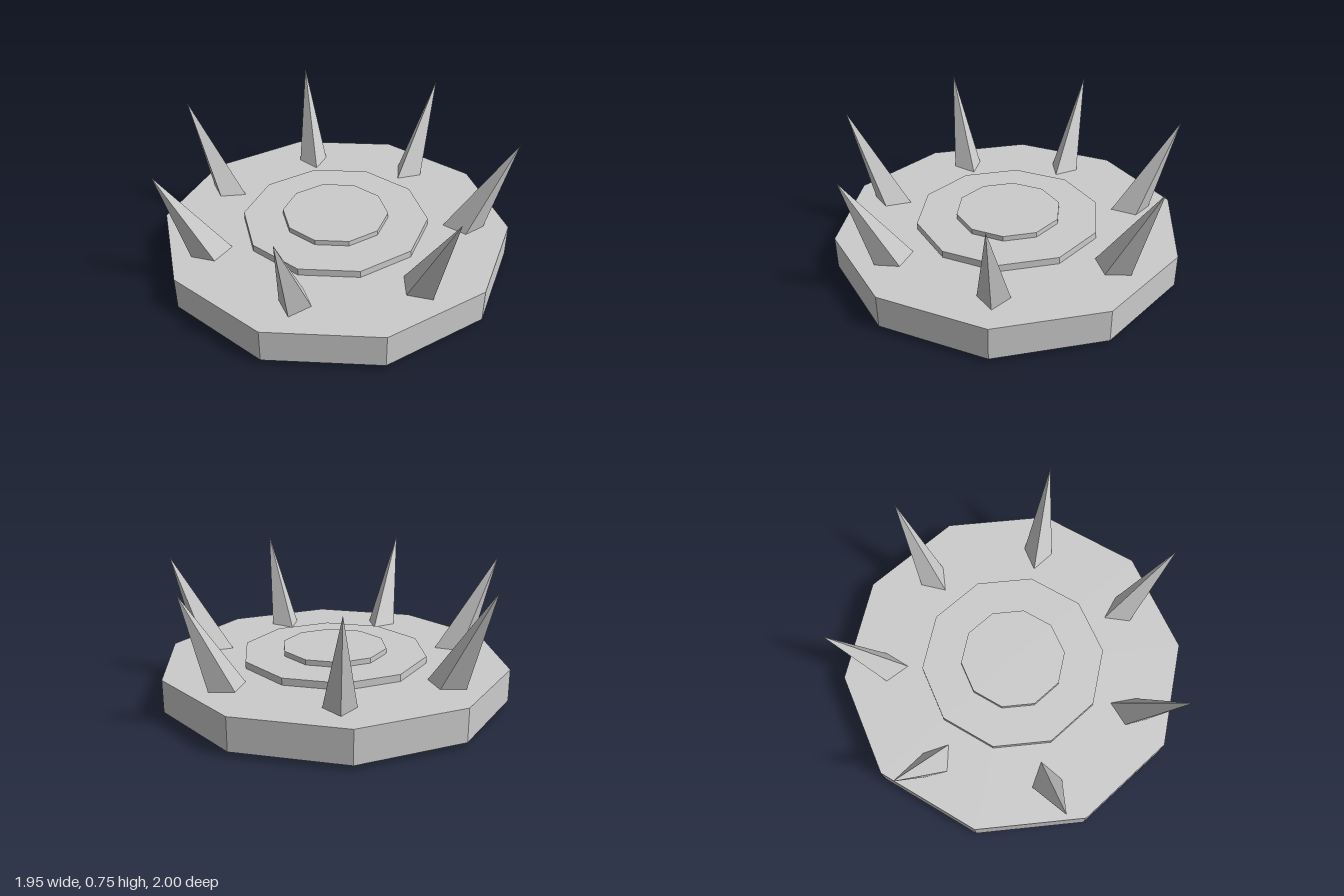
import * as THREE from 'three';

export function createModel() {
  const model = new THREE.Group();
  model.name = 'spikedDisc';
  const material = new THREE.MeshStandardMaterial({ color: 0xcccccc, flatShading: true });

  // everything is centred on the disc axis
  const centre = new THREE.Group();
  centre.name = 'body';
  centre.position.x = -0.03;
  model.add(centre);

  const add = (name, geometry) => {
    const mesh = new THREE.Mesh(geometry, material);
    mesh.name = name;
    centre.add(mesh);
    return mesh;
  };

  // stacked ten-sided discs: name, radius, bottom, top
  const discs = [
    ['baseDisc', 1, 0.025, 0.21],
    ['middleStep', 0.535, 0.21, 0.25],
    ['topStep', 0.305, 0.25, 0.28],
  ];
  for (const [name, radius, bottom, top] of discs) {
    const disc = new THREE.CylinderGeometry(radius, radius, top - bottom, 10);
    add(name, disc).position.y = (bottom + top) / 2;
  }

  // four-sided spike with its tip at the rim, leaning outward through the disc
  const height = 0.764;
  const spike = new THREE.ConeGeometry(0.134, height, 4)
    .translate(0, -height / 2, 0)
    .scale(1, 1, 0.83)
    .rotateZ(-0.435)
    .translate(1, 0.75, 0);

  // ring of seven spikes
  for (let i = 0; i < 7; i++) add('spike' + (i + 1), spike).rotation.y = 0.89 * i;

  return model;
}
